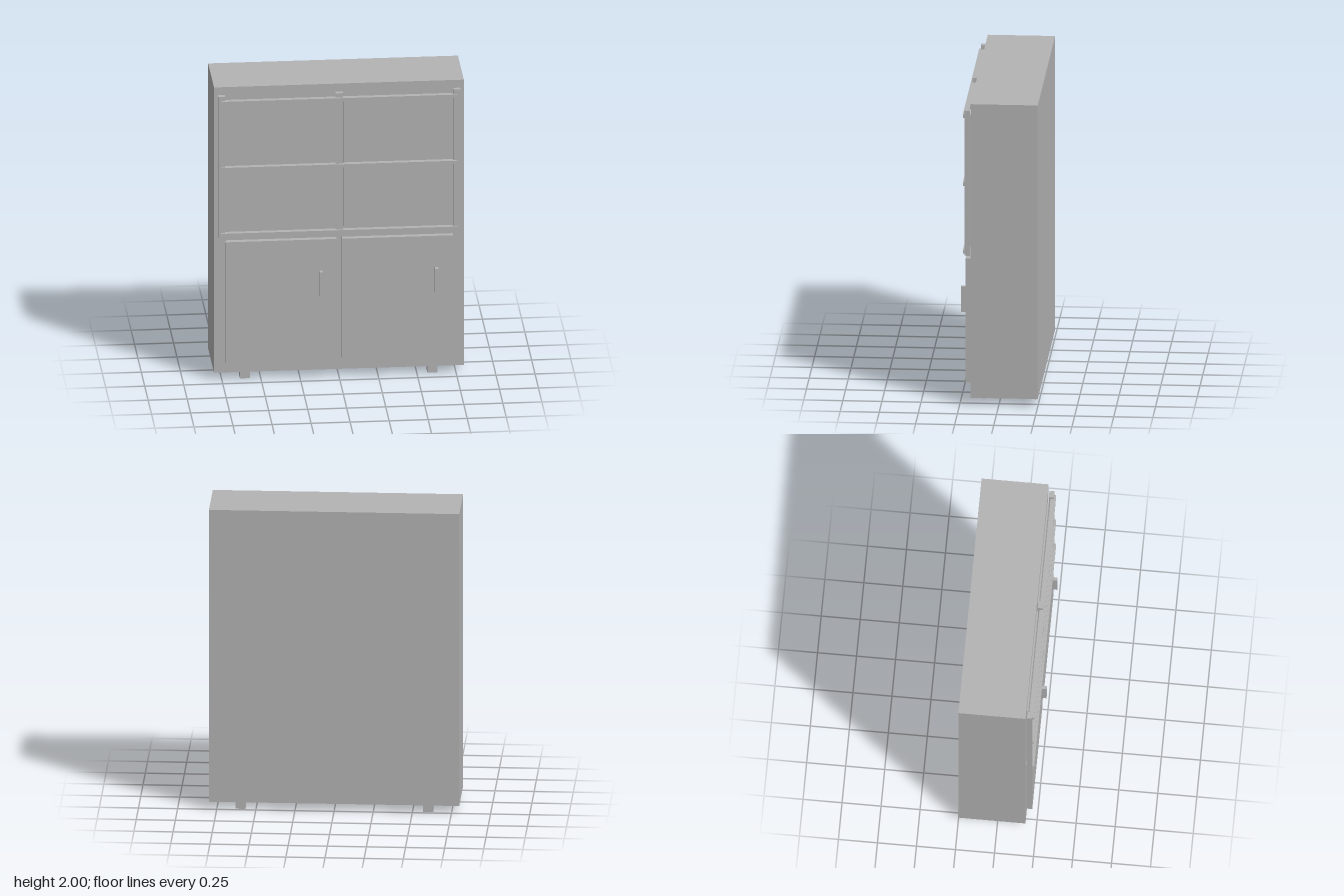
import * as THREE from 'three';

const grey = new THREE.MeshStandardMaterial({ color: 0xb4b4b4 });
grey.name = 'grey';

export function createModel() {
  const cabinet = new THREE.Group();
  cabinet.name = 'cabinet';

  // Box given by its min and max on each axis
  const box = (name, [x0, x1], [y0, y1], [z0, z1]) => {
    const mesh = new THREE.Mesh(new THREE.BoxGeometry(x1 - x0, y1 - y0, z1 - z0), grey);
    mesh.position.set((x0 + x1) / 2, (y0 + y1) / 2, (z0 + z1) / 2);
    mesh.name = name;
    cabinet.add(mesh);
  };
  const span = (centre, size) => [centre - size / 2, centre + size / 2];

  // Carcass
  box('body', [-0.8, 0.8], [0.05, 2], [-0.25, 0.18]);

  // Feet, upper panes and lower doors on both sides
  for (const side of [-1, 1]) {
    const word = side > 0 ? 'left' : 'right';
    for (const [end, z] of [['Front', 0.13], ['Back', -0.194]]) {
      box(word + end + 'Foot', span(side * 0.6, 0.065), [0, 0.05], span(z, 0.07));
    }
    box(word + 'Pane', span(side * 0.3695, 0.685), [1.03, 1.9], [0.178, 0.19]);
    box(word + 'Door', span(side * 0.373, 0.71), [0.132, 0.953], [0.178, 0.217]);
  }

  // Both handles sit towards the left edge of their door
  for (const [name, x] of [['rightHandle', -0.119], ['leftHandle', 0.621]]) {
    box(name, span(x, 0.022), [0.571, 0.741], [0.215, 0.253]);
  }

  // Upright posts of the glazed section
  for (const [name, x, width] of [['rightPost', -0.754, 0.044], ['centrePost', 0, 0.048], ['leftPost', 0.754, 0.044]]) {
    box(name, span(x, width), [0.986, 1.949], [0.187, 0.22]);
  }

  // Horizontal rails across the posts
  for (const [name, y] of [['bottomRail', 1.006], ['middleRail', 1.456], ['topRail', 1.908]]) {
    box(name, [-0.76, 0.76], span(y, 0.023), [0.198, 0.232]);
  }

  return cabinet;
}
